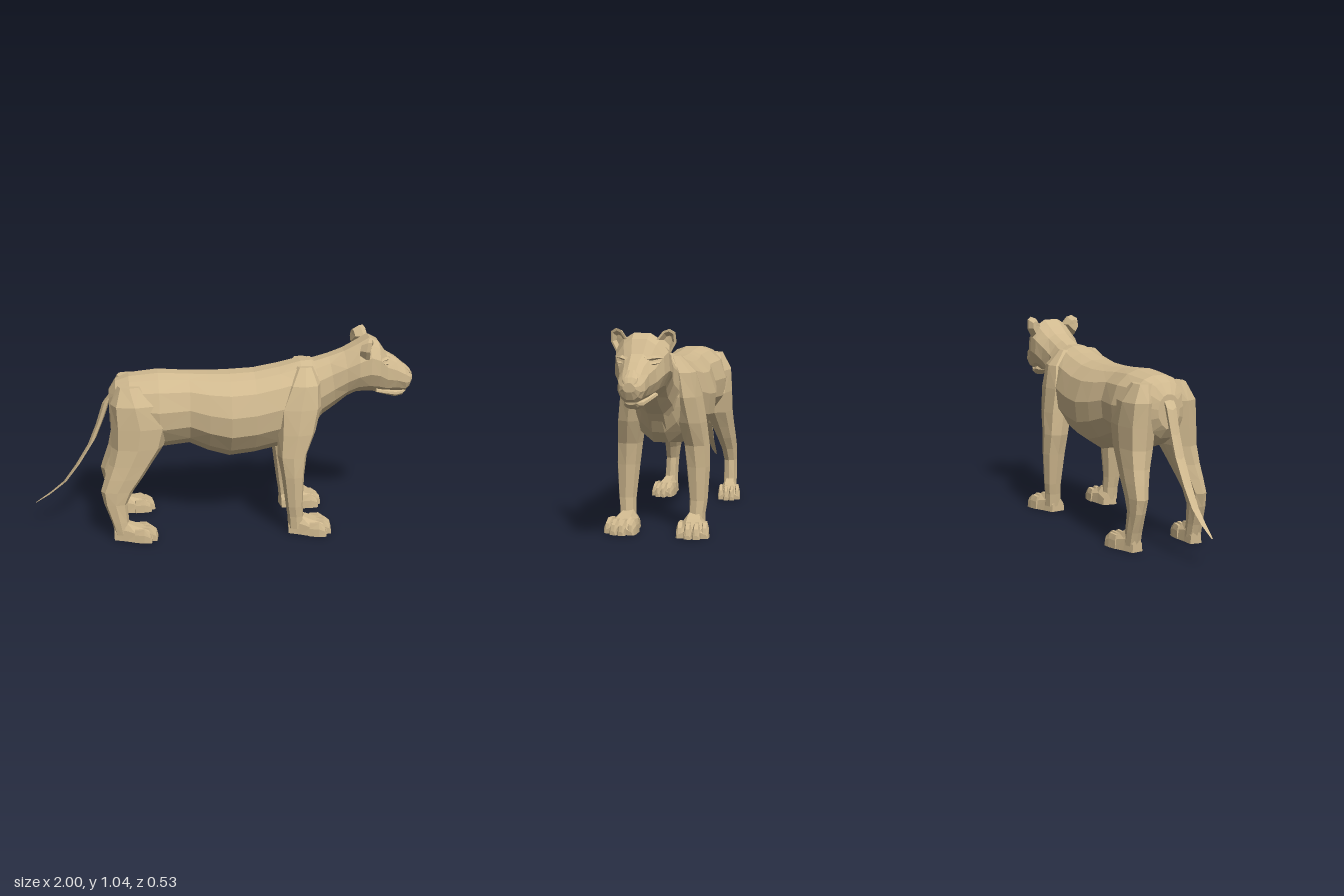
import * as THREE from 'three';

const coat = new THREE.MeshStandardMaterial({ color: 0xd0b98f });
coat.name = 'tan coat';

// Skin a list of equal-length point rings, cap both ends, facet the result and face it outward.
function loft(name, rings) {
  const n = rings[0].length, pos = [];
  const tri = (a, b, c) => pos.push([a, b, c]);
  for (let i = 0; i + 1 < rings.length; i++) {
    for (let j = 0; j < n; j++) {
      const k = (j + 1) % n, [p, q] = [rings[i], rings[i + 1]];
      if ((i + j) % 2) { tri(p[j], q[j], q[k]); tri(p[j], q[k], p[k]); }
      else { tri(p[j], q[j], p[k]); tri(p[k], q[j], q[k]); }
    }
  }
  const cap = (ring, flip) => {
    const mid = [0, 1, 2].map((a) => ring.reduce((s, p) => s + p[a], 0) / n);
    ring.forEach((p, j) => {
      const q = ring[(j + 1) % n];
      flip ? tri(mid, q, p) : tri(mid, p, q);
    });
  };
  cap(rings[0], false);
  cap(rings[rings.length - 1], true);
  // Signed volume tells whether the faces point inward
  let volume = 0;
  for (const [a, b, c] of pos) {
    volume += a[0] * (b[1] * c[2] - b[2] * c[1]) + a[1] * (b[2] * c[0] - b[0] * c[2]) + a[2] * (b[0] * c[1] - b[1] * c[0]);
  }
  const faces = volume < 0 ? pos.map(([a, b, c]) => [a, c, b]) : pos;
  const g = new THREE.BufferGeometry();
  g.setAttribute('position', new THREE.Float32BufferAttribute(faces.flat(2), 3));
  g.computeVertexNormals();
  const mesh = new THREE.Mesh(g, coat);
  mesh.name = name;
  return mesh;
}

// Symmetric upright ring: station = [x, top, bottom, half width, lean], profile = [depth, width] pairs
function section([x, top, bottom, half, lean = 0], profile, z = 0) {
  const side = (s) => profile.map(([t, w]) => [x + lean * t, top + (bottom - top) * t, z + s * w * half]);
  return [...side(1), ...side(-1).reverse()];
}

// Level ring for limbs: [x, y, z, radius x, radius z]
function limbRing([x, y, z, rx, rz], s) {
  return Array.from({ length: 8 }, (_, i) => {
    const a = (i / 8) * Math.PI * 2, c = Math.cos(a), d = Math.sin(a);
    return [x + rx * Math.sign(c) * Math.abs(c) ** 0.8, y, s * (z + rz * Math.sign(d) * Math.abs(d) ** 0.8)];
  });
}

const trunkProfile = [[0, 0.2], [0.05, 0.5], [0.18, 0.82], [0.42, 1], [0.66, 0.95], [0.87, 0.64], [1, 0.22]];
const headProfile = [[0, 0.3], [0.1, 0.65], [0.3, 0.96], [0.6, 1], [0.85, 0.75], [1, 0.35]];
const pawProfile = [[0, 0.45], [0.4, 0.9], [1, 1]];

// Broad flat paw with four toes, heel near the origin, pointing along +x
function makePaw(name) {
  const paw = new THREE.Group();
  paw.name = name;
  paw.add(loft('pad', [
    [-0.04, 0.065, 0, 0.04], [0.02, 0.1, 0, 0.055], [0.08, 0.078, 0, 0.075], [0.14, 0.06, 0, 0.076], [0.16, 0.035, 0, 0.07],
  ].map((p) => section(p, pawProfile))));
  [-0.061, -0.021, 0.021, 0.061].forEach((z, i) => {
    const reach = i === 0 || i === 3 ? 0.16 : 0.185;
    paw.add(loft('toe', [
      [reach - 0.09, 0.07, 0, 0.016], [reach - 0.04, 0.073, 0, 0.022], [reach - 0.008, 0.05, 0, 0.02], [reach, 0.02, 0, 0.014],
    ].map((p) => section(p, pawProfile, z))));
  });
  return paw;
}

const frontLeg = [
  [0.42, 0.89, 0.075, 0.04, 0.03], [0.41, 0.81, 0.115, 0.085, 0.065], [0.385, 0.69, 0.135, 0.115, 0.073],
  [0.37, 0.56, 0.155, 0.1, 0.072], [0.347, 0.44, 0.172, 0.077, 0.065], [0.352, 0.33, 0.18, 0.06, 0.06],
  [0.362, 0.16, 0.184, 0.045, 0.046], [0.37, 0.1, 0.18, 0.043, 0.042], [0.375, 0.03, 0.178, 0.042, 0.042],
];
const hindLeg = [
  [-0.49, 0.82, 0.09, 0.06, 0.05], [-0.465, 0.73, 0.11, 0.125, 0.08], [-0.44, 0.61, 0.117, 0.15, 0.083],
  [-0.455, 0.5, 0.125, 0.135, 0.075], [-0.495, 0.41, 0.142, 0.112, 0.06], [-0.53, 0.34, 0.155, 0.1, 0.05],
  [-0.567, 0.27, 0.165, 0.085, 0.041], [-0.577, 0.2, 0.17, 0.06, 0.036], [-0.556, 0.1, 0.173, 0.046, 0.037],
  [-0.542, 0.03, 0.173, 0.042, 0.038],
];

export function createModel() {
  const cat = new THREE.Group();
  cat.name = 'bigCat';

  // Torso from rump to chest
  cat.add(loft('torso', [
    [-0.595, 0.77, 0.6, 0.06], [-0.56, 0.825, 0.55, 0.12], [-0.49, 0.852, 0.51, 0.165], [-0.34, 0.866, 0.46, 0.185],
    [-0.18, 0.855, 0.475, 0.158], [-0.08, 0.85, 0.43, 0.185], [0.03, 0.85, 0.398, 0.205], [0.16, 0.856, 0.412, 0.2],
    [0.29, 0.88, 0.44, 0.19], [0.4, 0.907, 0.45, 0.175], [0.46, 0.91, 0.51, 0.145], [0.49, 0.895, 0.6, 0.11, 0.02],
  ].map((p) => section(p, trunkProfile))));

  // Neck, skull and upper muzzle in one skin
  cat.add(loft('neckAndHead', [
    [0.38, 0.885, 0.52, 0.12, 0.08], [0.48, 0.905, 0.61, 0.115, 0.04], [0.55, 0.925, 0.66, 0.106, 0.04],
    [0.63, 0.953, 0.71, 0.115, 0.02], [0.7, 0.99, 0.735, 0.13], [0.76, 1.025, 0.735, 0.132],
    [0.81, 1.0, 0.73, 0.12], [0.855, 0.935, 0.722, 0.092], [0.91, 0.903, 0.722, 0.072],
    [0.955, 0.865, 0.722, 0.065, 0.01], [0.985, 0.832, 0.74, 0.05], [1, 0.812, 0.775, 0.03],
  ].map((p) => section(p, headProfile))));

  cat.add(loft('lowerJaw', [
    [0.8, 0.76, 0.727, 0.085], [0.86, 0.745, 0.705, 0.062], [0.915, 0.735, 0.688, 0.045], [0.95, 0.735, 0.695, 0.037], [0.97, 0.735, 0.715, 0.025],
  ].map((p) => section(p, headProfile))));

  cat.add(loft('nose', [
    [0.95, 0.873, 0.84, 0.025], [0.985, 0.842, 0.81, 0.036], [1, 0.818, 0.785, 0.02],
  ].map((p) => section(p, headProfile))));

  // Tail hanging back and down
  cat.add(loft('tail', [
    [-0.55, 0.79, 0.035], [-0.605, 0.72, 0.034], [-0.645, 0.6, 0.031], [-0.69, 0.49, 0.031],
    [-0.77, 0.36, 0.028], [-0.84, 0.265, 0.023], [-0.92, 0.2, 0.016], [-0.998, 0.149, 0.005],
  ].map(([x, y, r]) => Array.from({ length: 6 }, (_, i) => {
    const a = (i / 6) * Math.PI * 2;
    return [x + r * 0.75 * Math.cos(a), y + r * 0.65 * Math.cos(a), r * Math.sin(a) * 0.9];
  }))));

  for (const s of [1, -1]) {
    const tag = s > 0 ? 'Plus' : 'Minus';
    cat.add(loft('frontLeg' + tag, frontLeg.map((r) => limbRing(r, s))));
    cat.add(loft('hindLeg' + tag, hindLeg.map((r) => limbRing(r, s))));

    const frontPaw = makePaw('frontPaw' + tag);
    frontPaw.position.set(0.377, 0, s * 0.167);
    frontPaw.rotation.y = -s * 0.13;
    const hindPaw = makePaw('hindPaw' + tag);
    hindPaw.position.set(-0.546, 0, s * 0.173);
    hindPaw.rotation.y = -s * 0.14;
    hindPaw.scale.z = 0.75;
    cat.add(frontPaw, hindPaw);

    // Cupped ear: bulging back, rim, sunken inside
    const rim = [[0.775, 0.995, 0.07], [0.765, 1.035, 0.1], [0.758, 1.045, 0.128], [0.75, 1.03, 0.153], [0.742, 0.98, 0.157], [0.745, 0.93, 0.13]];
    const inset = (k, dx) => rim.map(([x, y, z]) => [
      0.756 + (x - 0.756) * k + dx, 0.99 + (y - 0.99) * k, s * (0.118 + (z - 0.118) * k)]);
    cat.add(loft('ear' + tag, [inset(0.6, -0.055), inset(0.95, -0.02), inset(1, 0), inset(0.78, 0), inset(0.4, -0.025)]));

    // Heavy brow over a narrow eye
    const strip = (name, points, ry) => loft(name, points.map(([x, y, z, r]) => [
      [x, y + ry, s * z], [x + r, y, s * (z + r * 0.6)], [x, y - ry, s * z], [x - r, y, s * (z - r)]]));
    cat.add(strip('brow' + tag, [[0.868, 0.91, 0.04, 0.008], [0.85, 0.918, 0.072, 0.014], [0.805, 0.915, 0.112, 0.006]], 0.011));
    cat.add(strip('eye' + tag, [[0.866, 0.89, 0.062, 0.006], [0.848, 0.892, 0.082, 0.01], [0.825, 0.896, 0.102, 0.006]], 0.008));
  }
  return cat;
}
